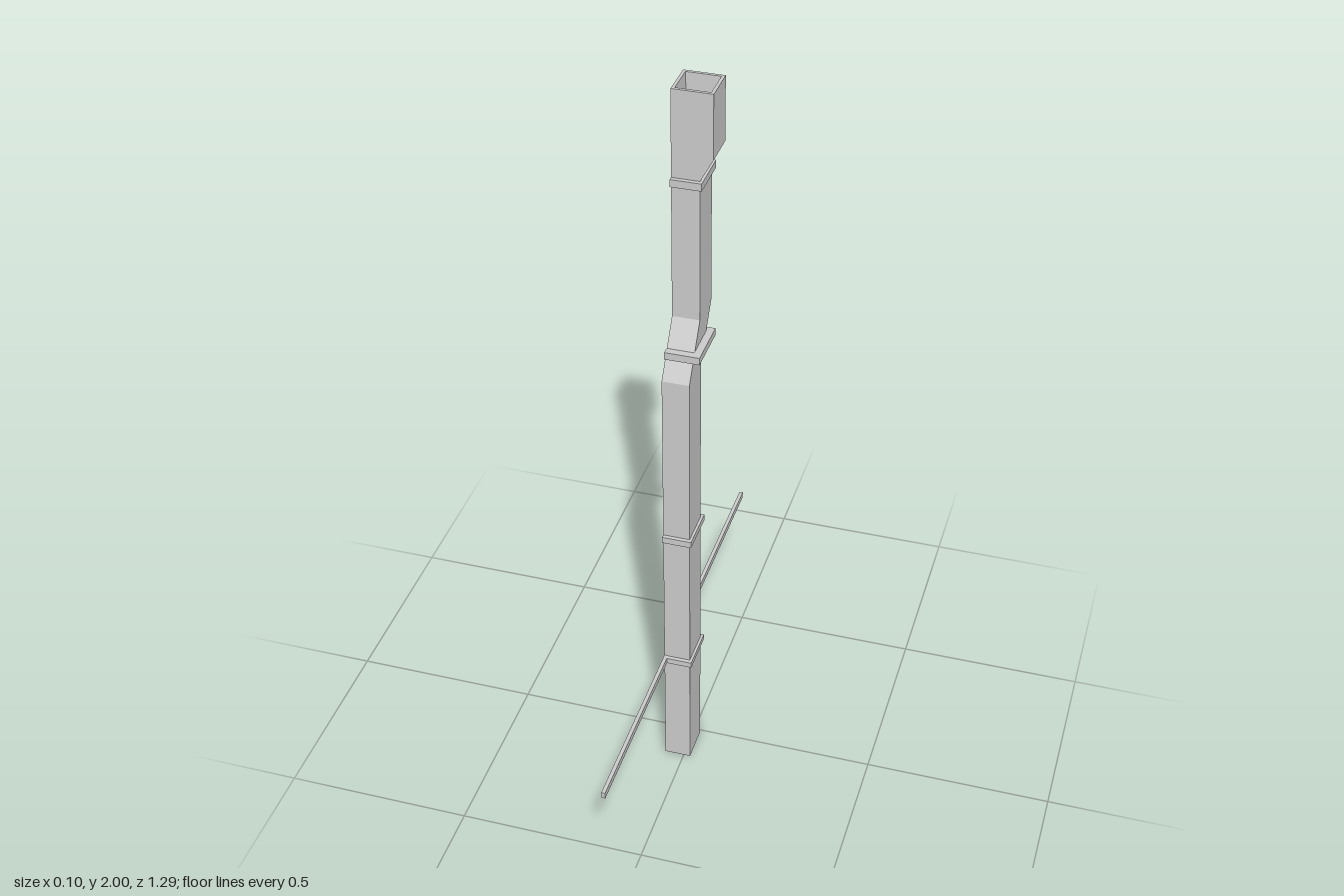
import * as THREE from 'three';

const BACK = -0.053; // wall side of the duct
const material = new THREE.MeshStandardMaterial({
  color: 0xcccccc, flatShading: true, side: THREE.DoubleSide,
});

// Joins successive rows of points into a sheet
function loft(rows, closed = false) {
  const n = rows[0].length, index = [];
  for (let r = 0; r < rows.length - 1; r++) {
    for (let i = 0; i < (closed ? n : n - 1); i++) {
      const a = r * n + i, b = r * n + (i + 1) % n;
      index.push(a, a + n, b, b, a + n, b + n);
    }
  }
  const g = new THREE.BufferGeometry();
  g.setAttribute('position', new THREE.Float32BufferAttribute(rows.flat(2), 3));
  g.setIndex(index);
  g.computeVertexNormals();
  return g;
}

// Rectangle corners at height y, starting and ending on the wall side
const corners = (x0, x1, z0, z1, y) => [[x0, y, z1], [x1, y, z1], [x1, y, z0], [x0, y, z0]];

export function createModel() {
  const model = new THREE.Group();
  const add = (name, geometry) => {
    const mesh = new THREE.Mesh(geometry, material);
    mesh.name = name;
    model.add(mesh);
    return mesh;
  };

  // Three-sided duct with an offset bend, widening into the hopper: [y, outer x, back z]
  const sections = [
    [0, 0.018, 0.008], [1.25, 0.018, 0.008], [1.385, 0.018, -0.082],
    [1.77, 0.018, -0.082], [1.83, 0.05, -0.082], [2, 0.05, -0.082],
  ];
  add('duct', loft(sections.map(([y, x, z]) => corners(BACK, x, z, z + 0.1, y))));

  // Closed bottom of the duct
  const floor = add('ductFloor', new THREE.PlaneGeometry(0.071, 0.1).rotateX(-Math.PI / 2));
  floor.position.set(-0.0175, 0, 0.058);

  // Wall-side panel of the hopper
  const panel = add('hopperBack', new THREE.PlaneGeometry(0.1, 0.17).rotateY(-Math.PI / 2));
  panel.position.set(BACK, 1.915, -0.032);

  // Hopper rim, sloping inner walls and floor
  const inset = (d, y) => corners(BACK + d, 0.05 - d, -0.082 + d, 0.018 - d, y);
  add('hopperInside', loft([inset(0, 2), inset(0.008, 2), inset(0.016, 1.83), inset(0.05, 1.83)], true));

  // U-shaped brackets: [bottom y, height, back z, front z, outer x, thickness]
  const brackets = [
    [0.34, 0.016, -0.003, 0.119, 0.025, 0.011],
    [0.752, 0.018, -0.003, 0.119, 0.025, 0.011],
    [1.3, 0.02, -0.055, 0.085, 0.037, 0.02],
    [1.75, 0.02, -0.093, 0.029, 0.025, 0.011],
  ];
  for (const [y, height, z0, z1, x, t] of brackets) {
    const outline = [
      [BACK, z0], [x, z0], [x, z1], [BACK, z1],
      [BACK, z1 - t], [x - t, z1 - t], [x - t, z0 + t], [BACK, z0 + t],
    ].map(([px, pz]) => new THREE.Vector2(px, -pz));
    const g = new THREE.ExtrudeGeometry(new THREE.Shape(outline), { depth: height, bevelEnabled: false });
    add('bracket', g.rotateX(-Math.PI / 2)).position.y = y;
  }

  // Long horizontal rail along the wall
  add('rail', new THREE.BoxGeometry(0.01, 0.018, 1.29)).position.set(-0.048, 0.348, 0);

  return model;
}
